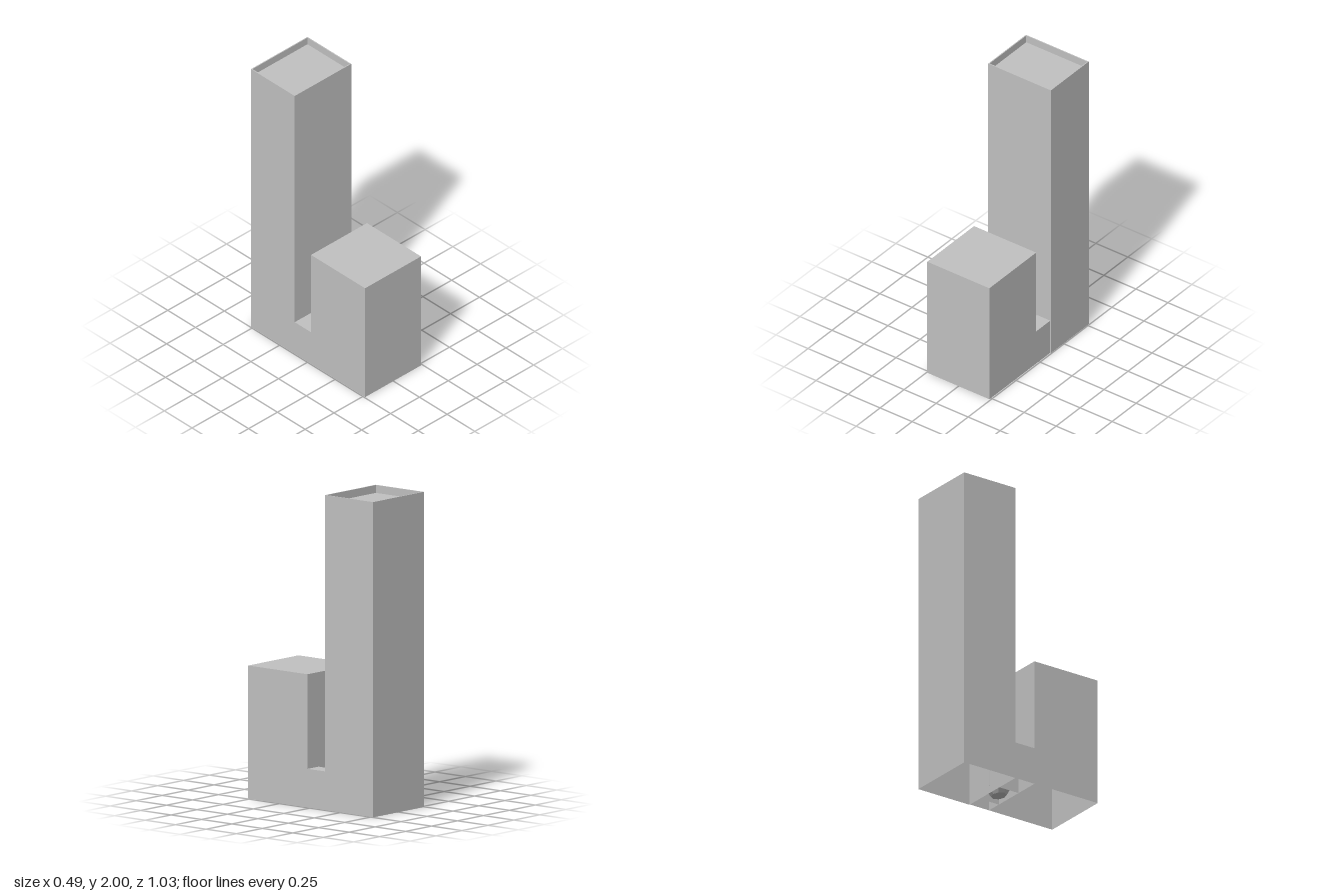
import * as THREE from 'three';

// Box from min/max corners with some sides left out (0 +x, 1 -x, 2 +y, 3 -y, 4 +z, 5 -z)
function shell([x0, x1], [y0, y1], [z0, z1], omit) {
  const g = new THREE.BoxGeometry(x1 - x0, y1 - y0, z1 - z0);
  g.translate((x0 + x1) / 2, (y0 + y1) / 2, (z0 + z1) / 2);
  const index = Array.from(g.index.array).filter((_, i) => !omit.includes(Math.floor(i / 6)));
  g.setIndex(index);
  g.clearGroups();
  return g;
}

function rectangle(PathType, x0, x1, y0, y1) {
  return new PathType([[x0, y0], [x1, y0], [x1, y1], [x0, y1]].map(([x, y]) => new THREE.Vector2(x, y)));
}

export function createModel() {
  const model = new THREE.Group();
  model.name = 'building';
  const grey = new THREE.MeshStandardMaterial({ color: 0xc0c0c0, side: THREE.DoubleSide });
  grey.name = 'light grey';

  const add = (name, geometry) => {
    const mesh = new THREE.Mesh(geometry, grey);
    mesh.name = name;
    model.add(mesh);
    return mesh;
  };

  const back = -0.515, towerFront = -0.12, blockBack = 0.027, front = 0.515;
  const roof = 1.95, bridgeTop = 0.245;

  // Tall tower, open underneath, its top is the sunken roof
  add('tower', shell([-0.245, 0.245], [0, roof], [back, towerFront], [3]));

  // Thin parapet around the sunken roof
  const t = 0.007;
  const rim = rectangle(THREE.Shape, -0.245, 0.245, -towerFront, -back);
  rim.holes.push(rectangle(THREE.Path, -0.245 + t, 0.245 - t, -towerFront + t, -back - t));
  const parapet = new THREE.ExtrudeGeometry(rim, { depth: 2 - roof, bevelEnabled: false });
  parapet.rotateX(-Math.PI / 2).translate(0, roof, 0);
  add('parapet', parapet);

  // Low block, open underneath
  add('lowBlock', shell([-0.245, 0.24], [0, 0.845], [blockBack, front], [3]));

  // Two low links either side of an open shaft
  for (const [name, x0, x1] of [['rightLink', -0.245, -0.075], ['leftLink', 0.135, 0.24]]) {
    add(name, shell([x0, x1], [0, bridgeTop], [towerFront, blockBack], [3, 4, 5]));
  }

  // Faceted eight-sided oval core standing in the shaft
  const profile = [[0, 0], [0.044, 0], [0.073, 0.05], [0.073, 0.21], [0.044, 0.265], [0, 0.265]]
    .map(([r, y]) => new THREE.Vector2(r, y));
  const core = new THREE.LatheGeometry(profile, 8).scale(1.32, 1, 1).toNonIndexed();
  core.computeVertexNormals();
  add('shaftCore', core).position.set(0.03, 0, -0.049);

  return model;
}
